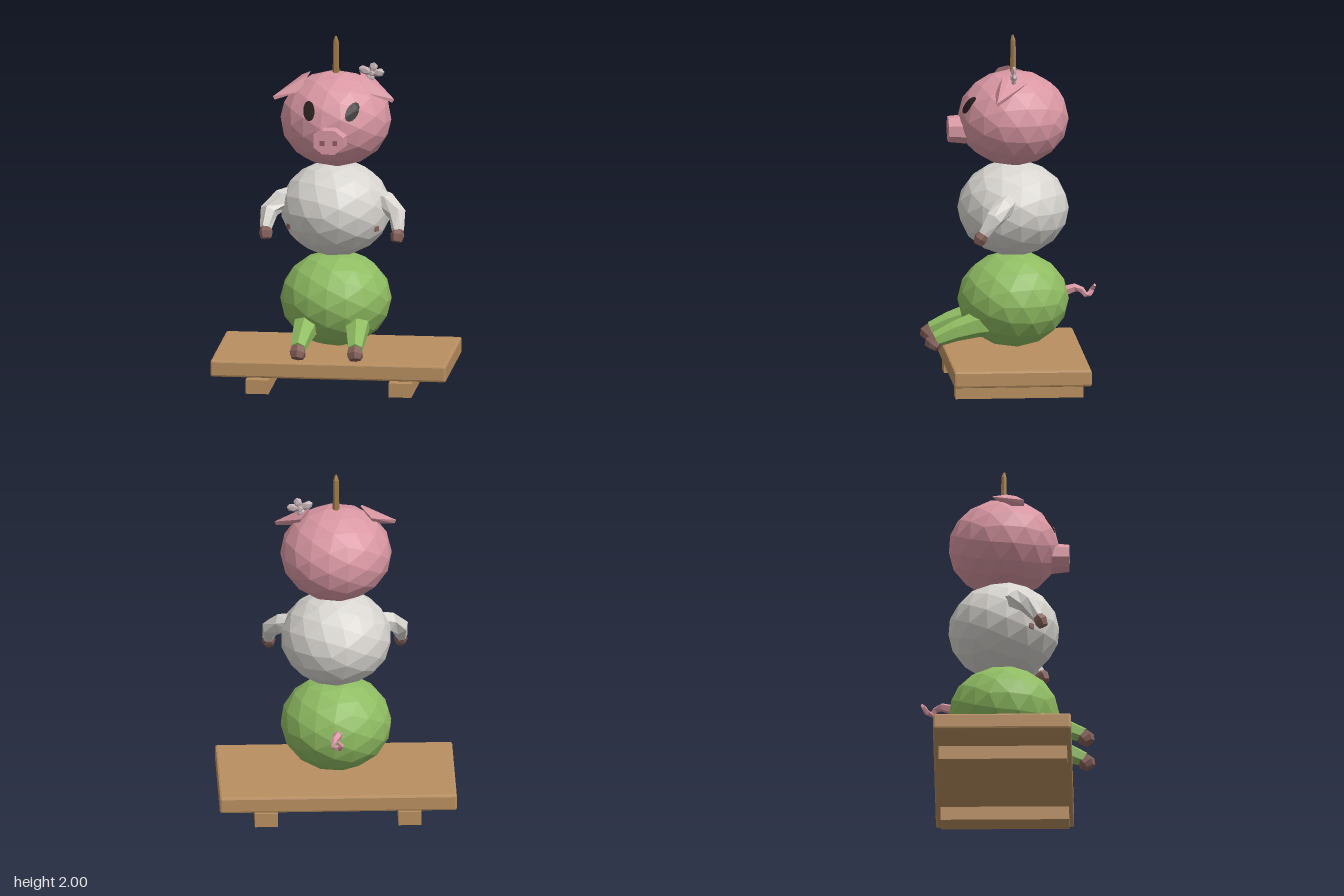
import * as THREE from 'three';
import { RoundedBoxGeometry } from 'three/addons/geometries/RoundedBoxGeometry.js';
import { ConvexGeometry } from 'three/addons/geometries/ConvexGeometry.js';

function material(name, color, side = THREE.FrontSide) {
  const m = new THREE.MeshStandardMaterial({ color, flatShading: true, side });
  m.name = name;
  return m;
}

// Faceted limb through sections [x, y, z, radius], closed at both ends
function limbGeometry(sections, ref, sides = 6) {
  const centres = sections.map(s => new THREE.Vector3(s[0], s[1], s[2]));
  const last = centres.length - 1;
  const rings = centres.map((c, i) => {
    const t = centres[Math.min(i + 1, last)].clone().sub(centres[Math.max(i - 1, 0)]).normalize();
    const u = ref.clone().cross(t).normalize();
    const v = t.clone().cross(u);
    return Array.from({ length: sides }, (_, j) => {
      const a = (j / sides) * Math.PI * 2, r = sections[i][3];
      return c.clone().addScaledVector(u, Math.cos(a) * r).addScaledVector(v, Math.sin(a) * r);
    });
  });
  const pts = [];
  for (let j = 0; j < sides; j++) {
    const k = (j + 1) % sides;
    for (let i = 0; i < last; i++) {
      const [a, b, c, d] = [rings[i][j], rings[i][k], rings[i + 1][k], rings[i + 1][j]];
      pts.push(a, b, c, a, c, d);
    }
    pts.push(centres[0], rings[0][k], rings[0][j], centres[last], rings[last][j], rings[last][k]);
  }
  const g = new THREE.BufferGeometry().setFromPoints(pts);
  g.computeVertexNormals();
  return g;
}

export function createModel() {
  const model = new THREE.Group();
  model.name = 'stackedPig';
  const pink = material('pink', 0xd997a3);
  const white = material('white', 0xd8d5d0);
  const green = material('green', 0x8fbc62);
  const wood = material('wood', 0xb98f60);
  const stickWood = material('stickWood', 0xa07a48);
  const hoofBrown = material('hoofBrown', 0x85605a);
  const dark = material('eyeDark', 0x2a1f1f, THREE.DoubleSide);
  const nostrilRose = material('nostrilRose', 0x945a62);
  const bowGrey = material('bowGrey', 0xc4b0b4);

  const add = (name, geometry, mat, x = 0, y = 0, z = 0) => {
    const m = new THREE.Mesh(geometry, mat);
    m.name = name;
    m.position.set(x, y, z);
    model.add(m);
    return m;
  };

  // Serving board with two battens
  add('board', new RoundedBoxGeometry(1.34, 0.095, 0.78, 1, 0.012), wood, 0, 0.145, -0.02);
  for (const s of [-1, 1]) add('batten', new THREE.BoxGeometry(0.13, 0.08, 0.725), wood, s * 0.406, 0.04, -0.017);

  // Three stacked balls
  const ball = (name, y, mat, turn) => {
    const g = new THREE.IcosahedronGeometry(1, 2);
    g.rotateY(turn).scale(0.315, 0.272, 0.315).translate(0, y, -0.018);
    return add(name, g, mat);
  };
  ball('lowerBody', 0.488, green, 0.3);
  ball('upperBody', 1.01, white, 0.9);
  const head = ball('head', 1.527, pink, 0.2);

  // Skewer tip
  add('skewer', limbGeometry([[0, 1.6, -0.018, 0.02], [0, 1.8, -0.018, 0.019],
    [0, 1.97, -0.018, 0.016], [0, 2, -0.015, 0.006]], new THREE.Vector3(0, 0, 1)), stickWood);

  const xAxis = new THREE.Vector3(1, 0, 0), zAxis = new THREE.Vector3(0, 0, 1);
  for (const s of [-1, 1]) {
    // Legs and arms, each ending in a hoof
    const mirror = list => list.map(([x, y, z, r]) => [s * x, y, z, r]);
    add('leg', limbGeometry(mirror([[0.145, 0.375, 0.14, 0.075], [0.145, 0.365, 0.21, 0.073],
      [0.155, 0.33, 0.33, 0.058], [0.162, 0.287, 0.435, 0.044]]), xAxis), green);
    add('legHoof', limbGeometry(mirror([[0.162, 0.29, 0.425, 0.042], [0.163, 0.262, 0.452, 0.05],
      [0.165, 0.238, 0.465, 0.036]]), xAxis), hoofBrown);
    add('arm', limbGeometry(mirror([[0.23, 1.08, 0.02, 0.06], [0.3, 1.065, 0.06, 0.06],
      [0.365, 1.01, 0.12, 0.052], [0.376, 0.925, 0.18, 0.034]]), zAxis), white);
    add('armHoof', limbGeometry(mirror([[0.376, 0.93, 0.175, 0.03], [0.374, 0.905, 0.196, 0.04],
      [0.37, 0.872, 0.21, 0.03]]), zAxis), hoofBrown);

    // Small side patch on the upper body
    const patch = add('sidePatch', new THREE.BoxGeometry(0.03, 0.03, 0.009), hoofBrown, s * 0.25, 0.928, 0.142);
    patch.rotation.y = s * 0.95;

    // Folded ears
    add('ear', new ConvexGeometry([[0.2, 1.76, -0.085], [0.14, 1.8, 0], [0.15, 1.785, 0.055],
      [0.195, 1.7, 0.1], [0.21, 1.69, 0], [0.345, 1.67, 0.1], [0.335, 1.65, 0.1]]
      .map(([x, y, z]) => new THREE.Vector3(s * x, y, z))), pink);

    // Nostrils
    add('nostril', new THREE.BoxGeometry(0.026, 0.028, 0.008), nostrilRose, s * 0.036, 1.462, 0.352);
  }

  // Snout
  const snout = new THREE.CylinderGeometry(0.088, 0.1, 0.1, 8);
  snout.rotateX(Math.PI / 2).rotateZ(Math.PI / 8).scale(1.05, 0.84, 1);
  add('snout', snout, pink, 0, 1.465, 0.302);

  // Eyes: thin discs laid onto the head's facets
  const ray = new THREE.Raycaster();
  head.updateMatrixWorld();
  for (const s of [-1, 1]) {
    const eye = new THREE.RingGeometry(0.0005, 1, 14, 5);
    eye.scale(0.034, 0.053, 1).rotateZ(s > 0 ? -0.45 : 0.08).translate(s * 0.123, 1.622, 0);
    const p = eye.attributes.position;
    for (let i = 0; i < p.count; i++) {
      ray.set(new THREE.Vector3(p.getX(i), p.getY(i), 1), new THREE.Vector3(0, 0, -1));
      const hit = ray.intersectObject(head)[0];
      p.setZ(i, (hit ? hit.point.z : 0.24) + 0.007);
    }
    eye.computeVertexNormals();
    add('eye', eye, dark);
  }

  // Bow on the left ear: petals around a knot
  const bow = new THREE.Group();
  bow.name = 'bow';
  bow.position.set(0.205, 1.795, -0.005);
  for (const [angle, length] of [[1.3, 0.068], [2.75, 0.085], [0.1, 0.078], [-1.9, 0.055]]) {
    const g = new THREE.IcosahedronGeometry(1, 0);
    g.scale(length / 2, 0.026, 0.015).translate(length / 2, 0, 0).rotateZ(angle);
    const petal = new THREE.Mesh(g, bowGrey);
    petal.name = 'bowPetal';
    bow.add(petal);
  }
  const knot = new THREE.Mesh(new THREE.IcosahedronGeometry(0.022, 0), bowGrey);
  knot.name = 'bowKnot';
  bow.add(knot);
  model.add(bow);

  // Curly tail
  add('tail', limbGeometry([[0, 0.52, -0.29, 0.032], [0.005, 0.545, -0.37, 0.024],
    [0.025, 0.535, -0.405, 0.018], [0.03, 0.508, -0.425, 0.015], [-0.005, 0.505, -0.45, 0.016],
    [-0.015, 0.53, -0.468, 0.015], [0.01, 0.56, -0.48, 0.009]], xAxis, 5), pink);

  return model;
}
